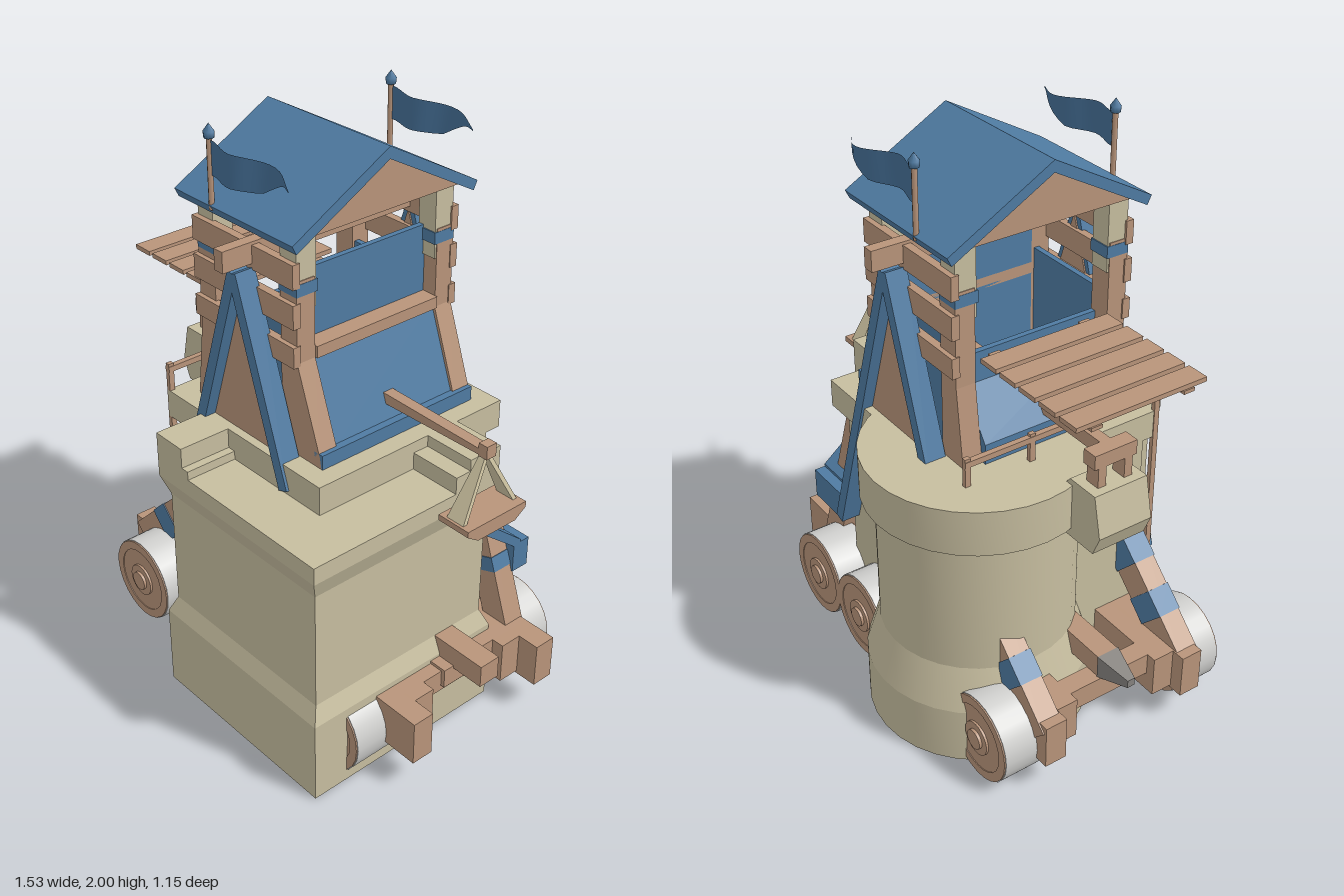
import * as THREE from 'three';
import { toCreasedNormals } from 'three/addons/utils/BufferGeometryUtils.js';

const mat = (name, color, side = THREE.FrontSide) => {
  const m = new THREE.MeshStandardMaterial({ color, side });
  m.name = name;
  return m;
};

export function createModel() {
  const root = new THREE.Group();
  root.name = 'siegeTower';
  const stone = mat('stone', 0xc6bd9f), wood = mat('wood', 0xb8947a), blue = mat('blue', 0x4f7ba2);
  const rim = mat('paleRim', 0xcfcfcd), iron = mat('iron', 0x85827e);
  const cloth = mat('blueCloth', 0x456f96, THREE.DoubleSide);

  const add = (name, geo, m, parent = root) => {
    const mesh = new THREE.Mesh(geo, m);
    mesh.name = name;
    parent.add(mesh);
    return mesh;
  };
  // box from its min and max limits
  const box = (name, m, x0, x1, y0, y1, z0, z1, parent) => {
    const g = new THREE.BoxGeometry(x1 - x0, y1 - y0, z1 - z0);
    g.translate((x0 + x1) / 2, (y0 + y1) / 2, (z0 + z1) / 2);
    return add(name, g, m, parent);
  };
  // outline in x,y extruded from z0 to z1
  const prismGeo = (pts, z0, z1) => {
    const s = new THREE.Shape(pts.map(p => new THREE.Vector2(...p)));
    return new THREE.ExtrudeGeometry(s, { depth: z1 - z0, bevelEnabled: false }).translate(0, 0, z0);
  };
  const prism = (name, m, pts, z0, z1, parent) => add(name, prismGeo(pts, z0, z1), m, parent);
  // outline in z,y extruded from x0 to x1
  const prismX = (name, m, pts, x0, x1, parent) =>
    add(name, prismGeo(pts.map(([z, y]) => [-z, y]), x0, x1).rotateY(Math.PI / 2), m, parent);
  // straight bar of given thickness between two x,y points
  const bar = (name, m, [ax, ay], [bx, by], t, z0, z1, parent) => {
    const l = Math.hypot(bx - ax, by - ay), nx = -(by - ay) / l * t / 2, ny = (bx - ax) / l * t / 2;
    return prism(name, m, [[ax + nx, ay + ny], [ax - nx, ay - ny], [bx - nx, by - ny], [bx + nx, by + ny]], z0, z1, parent);
  };
  const lathe = (pts, n) => new THREE.LatheGeometry(pts.map(p => new THREE.Vector2(...p)), n);

  // stone keep: square bastion with a waist, round turret, core
  const r = Math.SQRT2;
  const sq = lathe([[0, 0.004], [.3825 * r, 0.004], [.3825 * r, .3], [.357 * r, .36], [.357 * r, .78], [.3825 * r, .85], [.3825 * r, .91], [0, .91]], 4);
  add('squareBastion', toCreasedNormals(sq.rotateY(Math.PI / 4).translate(.1925, 0, .1925), .1), stone);
  const rd = lathe([[0, 0.004], [.377, 0.004], [.377, .21], [.33, .36], [.33, .83], [.377, .85], [.377, 1.01], [0, 1.01]], 32);
  add('roundTurret', toCreasedNormals(rd.translate(-.2, 0, -.2), .25), stone);
  box('keepCore', stone, -.385, .385, .004, .95, -.33, .33);
  box('keepCap', stone, -.385, .385, .91, 1.01, -.39, .39);
  box('merlonFront', stone, -.19, -.06, .91, 1.01, .39, .575);
  box('merlonStep', stone, -.06, -.03, .91, .94, .39, .575);
  box('merlonBack', stone, .385, .575, .91, 1.01, -.19, -.06);
  box('merlonBackStep', stone, .385, .575, .91, .97, -.06, .0);
  box('basePanel', blue, -.33, .33, 0, .006, -.33, .37);

  // chassis rails and ram
  for (const s of [-1, 1]) {
    const rail = (n, x0, x1, a, b, y0, y1) => box(n, wood, x0, x1, y0, y1, s > 0 ? a : -b, s > 0 ? b : -a);
    rail('outerRail', -.75, .75, .24, .32, .12, .28);
    rail('innerRail', -.7, .67, .16, .24, .13, .28);
    bar('leftBrace', wood, [-.7, .21], [-.365, .53], .12, s * .285 - .04, s * .285 + .04);
    for (const t of [.36, .78]) bar('leftBraceBand', blue, [-.7 + .335 * t, .21 + .32 * t],
      [-.7 + .335 * (t + .2), .21 + .32 * (t + .2)], .126, s * .285 - .043, s * .285 + .043);
  }
  bar('rightBrace', wood, [.57, .22], [.36, .82], .1, -.325, -.245);
  bar('rightBraceBand', blue, [.49, .45], [.472, .5], .106, -.328, -.242);
  prismX('slantedBoard', blue, [[-.165, .71], [-.165, .665], [-.35, .52], [-.35, .56]], .385, .55);
  box('slantedBoardFoot', blue, .37, .55, .44, .55, -.39, -.32);
  for (const x of [-.63, .59]) box('axleBeam', wood, x - .035, x + .035, .2, .28, -.3, .3);
  box('ramGuide', wood, .57, .64, .22, .29, -.08, .08);
  box('ram', wood, -.66, .76, .28, .36, -.04, .04);
  const tip = new THREE.CylinderGeometry(.02, .06, .12, 4, 1).rotateY(Math.PI / 4).rotateZ(Math.PI / 2);
  add('ramTip', toCreasedNormals(tip.translate(-.71, .32, 0), .3), iron);
  box('frontPeg', wood, -.23, -.17, .37, .44, .33, .48);

  // wheels
  for (const s of [-1, 1]) for (const x of [-.55, -.18, .18, .47]) {
    const w = new THREE.Group();
    w.name = 'wheel';
    w.position.set(x, .155, s * .365);
    const disc = (n, m, rad, d) => add(n, new THREE.CylinderGeometry(rad, rad, d, 24).rotateX(Math.PI / 2), m, w);
    disc('tyre', rim, .155, .15);
    disc('wheelWeb', wood, .12, .154);
    const ring = toCreasedNormals(lathe([[.12, -.08], [.152, -.08], [.152, .08], [.12, .08], [.12, -.08]], 24), .5);
    add('wheelRing', ring.rotateX(Math.PI / 2), wood, w);
    disc('hubPlate', wood, .06, .17);
    disc('hub', wood, .035, .19);
    root.add(w);
  }

  // upper tower: flared corner posts, planks, blue walls
  for (const s of [-1, 1]) {
    const z0 = s * .285 - .035, z1 = s * .285 + .035;
    prism('rightPost', wood, [[.13, 1.6], [.13, 1.0], [.315, 1.0], [.305, 1.05], [.205, 1.33], [.205, 1.6]], z0, z1);
    prism('leftPost', wood, [[-.19, 1.6], [-.27, 1.6], [-.27, 1.28], [-.3, 1.03], [-.3, 1.0], [-.19, 1.0]], z0, z1);
    for (const x of [-.23, .165]) {
      box('postTop', stone, x - .037, x + .037, 1.5, 1.75, s * .28 - .037, s * .28 + .037);
      box('postBand', blue, x - .041, x + .041, 1.55, 1.59, s * .28 - .041, s * .28 + .041);
    }
    for (const [a, b] of [[1.58, 1.66], [1.45, 1.53], [1.32, 1.39]])
      box('wallPlank', wood, -.275, .208, a, b, s * .322 - .014, s * .322 + .014);
    box('innerWall', blue, -.2, .14, 1.0, 1.42, s * .27 - .01, s * .27 + .01);
  }
  box('rightWall', blue, .13, .15, 1.35, 1.6, -.25, .25);
  prism('rightApron', blue, [[.13, 1.34], [.19, 1.34], [.295, 1.05], [.315, 1.05], [.315, 1.01], [.13, 1.01]], -.25, .25);
  box('rightSill', blue, .28, .318, 1.005, 1.06, -.32, .32);
  box('rightRail', wood, .13, .215, 1.33, 1.37, -.25, .25);
  box('leftWall', blue, -.21, -.19, 1.0, 1.34, -.25, .25);
  prism('leftApron', blue, [[-.2, 1.25], [-.32, 1.08], [-.32, 1.01], [-.2, 1.01]], -.25, .25);
  box('crossPole', wood, -.02, .02, 1.6, 1.67, -.445, .445);

  // triangular side frames with one long leg; the back one is turned half round
  for (const turn of [0, Math.PI]) {
    const f = new THREE.Group();
    f.name = 'sideFrame';
    f.rotation.y = turn;
    prism('framePanel', wood, [[0, 1.58], [-.2, 1.0], [.2, 1.0]], .32, .36, f);
    bar('shortLeg', blue, [0, 1.58], [.222, .92], .04, .325, .4, f);
    bar('longLeg', blue, [0, 1.58], [-.37, .45], .04, .325, .4, f);
    root.add(f);
  }

  // roof
  const slope = [[0, 1.95], [-.37, 1.745], [-.355, 1.715], [0, 1.91], [.355, 1.715], [.37, 1.745]];
  prismX('roof', blue, slope, -.31, .25);
  prismX('roofGable', wood, [[0, 1.912], [-.33, 1.73], [.33, 1.73]], -.27, .21);

  // flags on poles
  for (const s of [-1, 1]) {
    const z = s * .36;
    add('flagPole', new THREE.CylinderGeometry(.009, .009, .24, 8).translate(-.135, 1.85, z), wood);
    add('poleTip', lathe([[0, 1.95], [.016, 1.955], [.018, 1.975], [0, 2.0]], 8).translate(-.135, 0, z), blue);
    const g = new THREE.PlaneGeometry(1, 1, 16, 1), p = g.attributes.position;
    for (let i = 0; i < p.count; i++) {
      const t = p.getX(i) + .5, top = p.getY(i) > 0;
      const low = t < .55 ? 1.84 : 1.84 + .07 * Math.sin((t - .55) / .45 * Math.PI / 2);
      p.setXYZ(i, -.13 + .38 * t, top ? 1.95 - .035 * t * t : low, z + .032 * Math.sin(t * 7) * Math.min(1, t * 3));
    }
    g.computeVertexNormals();
    add('flag', g, cloth);
  }

  // plank landing on the left
  for (let i = 0; i < 5; i++) box('landingPlank', wood, -.745 + i * .096, -.667 + i * .096, 1.35, 1.366, -.24, .24);
  for (const z of [-.17, .17]) box('landingJoist', wood, -.75, -.25, 1.338, 1.35, z - .02, z + .02);
  // low railing
  box('railingBar', wood, -.39, -.37, 1.08, 1.1, -.37, .39);
  for (const z of [-.36, -.12, .12, .38]) box('railingPost', wood, -.388, -.372, 1.0, 1.11, z - .01, z + .01);
  box('railingLongPost', wood, -.388, -.372, .45, 1.1, .37, .39);

  // throwing arm, counterweight and sling
  prism('throwingArm', wood, [[-.64, 1.1], [-.1, 1.1], [.71, 1.115], [.71, 1.135], [-.1, 1.15], [-.64, 1.15]], -.02, .02);
  box('armEnd', wood, .675, .71, 1.11, 1.155, -.02, .02);
  for (const z of [-.05, .05]) box('weightHanger', wood, -.64, -.585, 1.02, 1.15, z - .015, z + .015);
  box('hangerPin', wood, -.64, -.585, 1.1, 1.15, -.08, .08);
  prism('counterweight', stone, [[-.67, 1.03], [-.7, .89], [-.67, .82], [-.525, .82], [-.525, 1.0], [-.55, 1.03]], -.1, .1);
  for (const s of [-1, 1]) {
    const pos = [];
    for (const [y, z, h] of [[1.12, 0, .01], [.915, .11, .035]])
      for (const [a, b] of [[-1, -1], [1, -1], [1, 1], [-1, 1]]) pos.push(.685 + a * h, y, s * z + b * .008);
    const g = new THREE.BufferGeometry();
    g.setAttribute('position', new THREE.Float32BufferAttribute(pos, 3));
    const idx = [];
    for (let i = 0; i < 4; i++) {
      const j = (i + 1) % 4;
      idx.push(i, i + 4, j, j, i + 4, j + 4);
    }
    g.setIndex(idx);
    const flat = g.toNonIndexed();
    flat.computeVertexNormals();
    const strap = add('slingStrap', flat, slingMat);
  }
  prismX('slingTray', wood, [[-.125, .92], [-.125, .9], [-.08, .87], [.08, .87], [.125, .9], [.125, .92]], .625, .75);
  return root;
}

// strap colour shared by both sling sides
const slingMat = mat('paleRope', 0xd3c8a6, THREE.DoubleSide);
